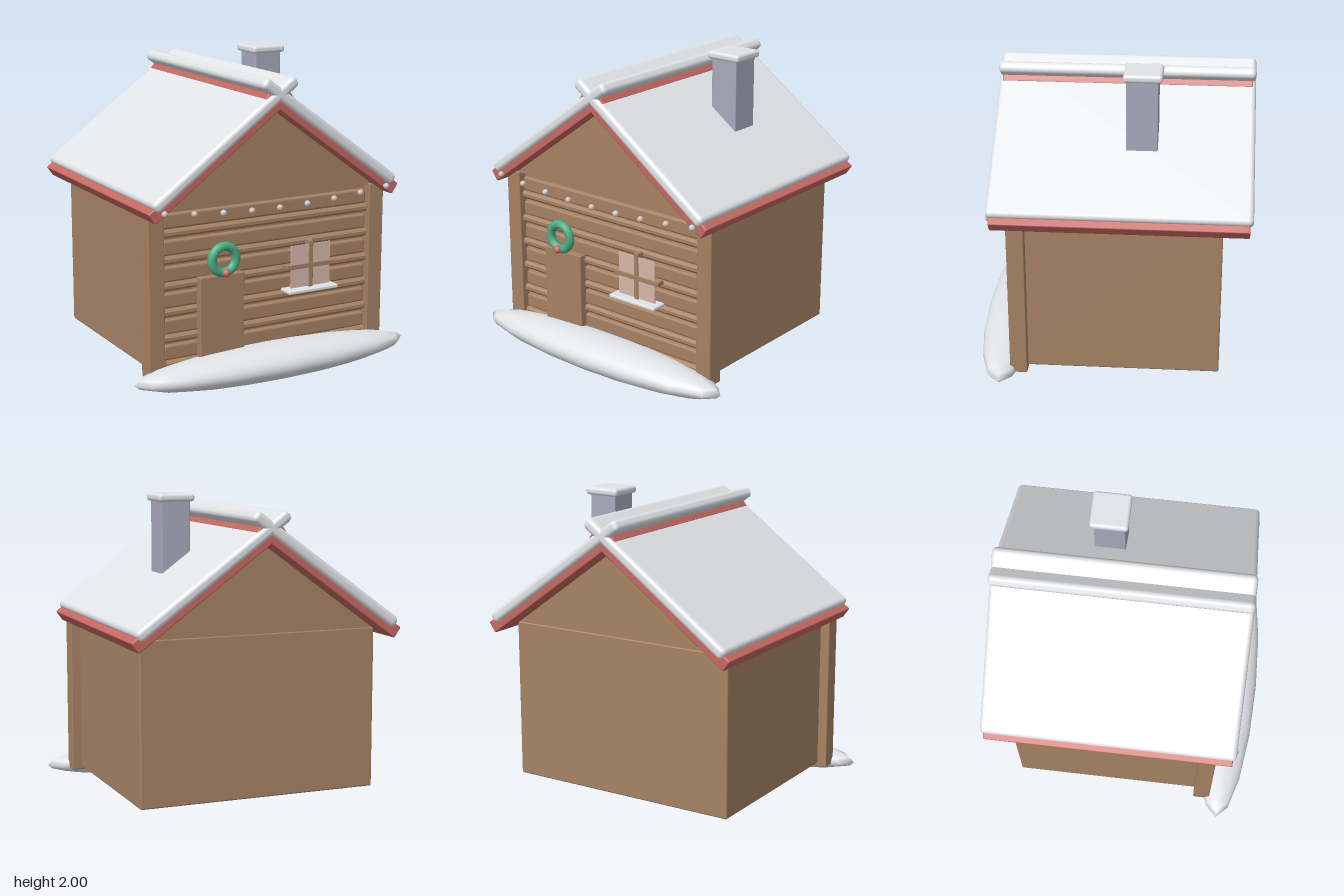
import * as THREE from 'three';
import { RoundedBoxGeometry } from 'three/addons/geometries/RoundedBoxGeometry.js';

const mat = (name, color) => {
  const m = new THREE.MeshStandardMaterial({ color });
  m.name = name;
  return m;
};

export function createModel() {
  const wood = mat('wood', 0xa68264);
  const red = mat('red', 0xc66862);
  const snow = mat('snow', 0xe2e4e8);
  const stone = mat('chimney stone', 0xa8aabc);
  const green = mat('wreath green', 0x4aac86);
  const glass = mat('window glass', 0xd6b8a9);
  const warm = mat('warm bulb', 0xd8bcb2);
  const cool = mat('cool bulb', 0xc0cedc);

  const model = new THREE.Group();
  model.name = 'winterCabin';
  const add = (name, geometry, material, x = 0, y = 0, z = 0) => {
    const mesh = new THREE.Mesh(geometry, material);
    mesh.name = name;
    mesh.position.set(x, y, z);
    model.add(mesh);
    return mesh;
  };
  // Box given by its limits on each axis, with softened edges when r > 0
  const box = (name, material, [x0, x1], [y0, y1], [z0, z1], r = 0) => {
    const size = [x1 - x0, y1 - y0, z1 - z0];
    const geometry = r ? new RoundedBoxGeometry(...size, 2, r) : new THREE.BoxGeometry(...size);
    return add(name, geometry, material, (x0 + x1) / 2, (y0 + y1) / 2, (z0 + z1) / 2);
  };

  // Walls and gable
  box('walls', wood, [-0.787, 0.787], [0.12, 1.155], [-0.7, 0.56], 0.01);
  const gable = new THREE.Shape([
    new THREE.Vector2(-0.787, 1.15), new THREE.Vector2(0.787, 1.15), new THREE.Vector2(0, 1.74),
  ]);
  add('gable', new THREE.ExtrudeGeometry(gable, { depth: 1.29, bevelEnabled: false }), wood, 0, 0, -0.695);

  // Front siding: wide boards with a narrow octagonal rail under each
  const rail = new THREE.CylinderGeometry(0.026, 0.026, 1.48, 8);
  rail.rotateY(Math.PI / 8).rotateZ(Math.PI / 2);
  const rails = rail.toNonIndexed();
  rails.computeVertexNormals();
  for (let i = 0; i < 6; i++) {
    const y = 0.168 + i * 0.166;
    add('frontRail', rails, wood, 0, y, 0.572);
    box('frontBoard', wood, [-0.735, 0.735], [y + 0.03, y + 0.125], [0.5, 0.588], 0.015);
  }

  // Corner posts and roof, mirrored left and right
  const pitch = Math.atan(0.725);
  for (const s of [-1, 1]) {
    const post = box('cornerPost', wood, [-0.055, 0.055], [0.1, 1.16], [0.51, 0.62], 0.008);
    post.position.x = s * 0.795;
    const roof = add('roofBoard', new RoundedBoxGeometry(1.167, 0.08, 1.58, 2, 0.008), red, s * 0.397, 1.477, -0.07);
    roof.rotation.z = -s * pitch;
    const cover = add('roofSnow', new RoundedBoxGeometry(1.198, 0.075, 1.62, 3, 0.03), snow, s * 0.37, 1.544, -0.07);
    cover.rotation.z = -s * pitch;
  }

  // Chimney
  box('chimney', stone, [0.3, 0.49], [1.38, 1.96], [-0.285, -0.09], 0.006);
  box('chimneySnow', snow, [0.275, 0.515], [1.95, 2.0], [-0.31, -0.07], 0.02);

  // Door with wreath
  box('door', wood, [-0.505, -0.195], [0.1, 0.705], [0.55, 0.635], 0.006);
  add('wreath', new THREE.TorusGeometry(0.083, 0.029, 12, 32), green, -0.35, 0.81, 0.65);
  add('wreathBerry', new THREE.SphereGeometry(0.026, 16, 12), red, -0.35, 0.73, 0.679);

  // Window
  box('windowGlass', glass, [0.14, 0.43], [0.55, 0.825], [0.632, 0.64]);
  box('windowUpright', wood, [0.27, 0.3], [0.54, 0.85], [0.59, 0.648], 0.004);
  box('windowCrossbar', wood, [0.11, 0.465], [0.672, 0.702], [0.59, 0.648], 0.004);
  box('windowSill', snow, [0.1, 0.465], [0.522, 0.546], [0.57, 0.692], 0.008);

  // Sagging row of bulbs along the eaves
  const bulb = new THREE.SphereGeometry(0.02, 12, 8);
  for (let i = -4; i <= 4; i++) {
    add('bulb', bulb, (i + 4) % 3 === 2 ? cool : warm, i * 0.198, 1.113 + 0.0031 * i * i, 0.73);
  }

  // Snow drift before the door
  const drift = new THREE.SphereGeometry(1, 16, 12).scale(0.98, 0.111, 0.196);
  add('snowDrift', drift, snow, 0, 0.111, 0.68);
  return model;
}
